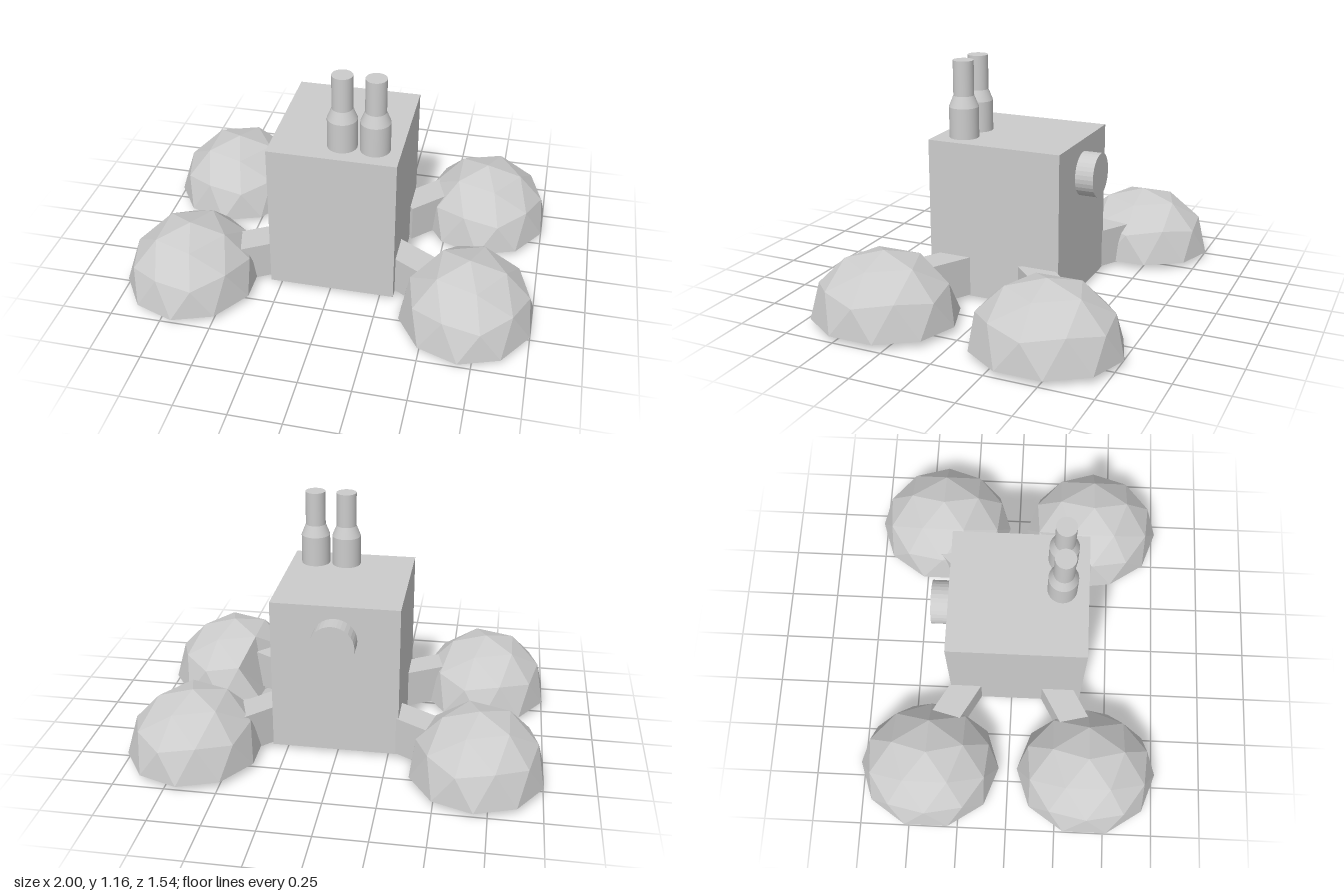
import * as THREE from 'three';

const material = new THREE.MeshStandardMaterial({ color: 0xcccccc, flatShading: true });
const smoothMaterial = new THREE.MeshStandardMaterial({ color: 0xcccccc });
const shellMaterial = new THREE.MeshStandardMaterial({
  color: 0xcccccc, flatShading: true, side: THREE.DoubleSide,
});

// Open upper half of a once-subdivided icosahedron; optional dent moves two vertices.
function domeGeometry(rx, ry, rz, dent) {
  const point = (latitude, degrees) => {
    const a = THREE.MathUtils.degToRad(degrees);
    const l = THREE.MathUtils.degToRad(latitude);
    return [rx * Math.cos(l) * Math.cos(a), ry * Math.sin(l), rz * Math.cos(l) * Math.sin(a)];
  };
  const pole = [0, ry, 0];
  const upper = [], middle = [], rim = [];
  for (let k = 0; k < 5; k++) upper.push(point(58.28, 72 * k));
  for (let j = 0; j < 10; j++) {
    middle.push(point(j % 2 ? 31.72 : 26.57, 36 * j));
    rim.push(point(0, 18 + 36 * j));
  }
  if (dent) {
    middle[6] = dent.middle;
    rim[5] = dent.rim;
  }
  const positions = [];
  const face = (...corners) => corners.forEach((c) => positions.push(...c));
  for (let k = 0; k < 5; k++) {
    const next = upper[(k + 1) % 5];
    const b0 = middle[2 * k], b1 = middle[2 * k + 1], b2 = middle[(2 * k + 2) % 10];
    face(pole, next, upper[k]);
    face(upper[k], b1, b0);
    face(b1, upper[k], next);
    face(next, b2, b1);
  }
  for (let j = 0; j < 10; j++) {
    face(middle[j], rim[j], rim[(j + 9) % 10]);
    face(rim[j], middle[j], middle[(j + 1) % 10]);
  }
  const geometry = new THREE.BufferGeometry();
  geometry.setAttribute('position', new THREE.Float32BufferAttribute(positions, 3));
  geometry.computeVertexNormals();
  return geometry;
}

export function createModel() {
  const model = new THREE.Group();
  const add = (name, geometry, x, y, z, mat = material) => {
    const mesh = new THREE.Mesh(geometry, mat);
    mesh.name = name;
    mesh.position.set(x, y, z);
    model.add(mesh);
    return mesh;
  };

  // Tall central box
  add('body', new THREE.BoxGeometry(0.62, 0.77, 0.675), 0.01, 0.405, 0.0225);

  // Round port on the back
  add('backPort', new THREE.CylinderGeometry(0.108, 0.108, 0.1, 32), 0.01, 0.62, -0.355)
    .rotation.x = Math.PI / 2;

  // Twin stepped chimneys; sections are doubled at the creases to stay sharp
  const profile = [[0.072, 0], [0.072, 0.15], [0.072, 0.15], [0.05, 0.205],
    [0.05, 0.205], [0.05, 0.375], [0.05, 0.375], [0, 0.375]];
  for (const [name, x] of [['rightChimney', 0.038], ['leftChimney', 0.195]]) {
    const group = new THREE.Group();
    group.name = name;
    for (let i = 0; i < profile.length; i += 2) {
      const points = profile.slice(i, i + 2).map(([r, y]) => new THREE.Vector2(r, y));
      const section = new THREE.Mesh(new THREE.LatheGeometry(points, 32), smoothMaterial);
      section.name = 'chimneySection';
      group.add(section);
    }
    group.position.set(x, 0.79, 0.23);
    model.add(group);
  }

  // Four splayed arms, each ending inside a foot dome
  const arms = [
    ['frontLeftArm', 0.32, 0.23, 30], ['frontRightArm', -0.3, 0.24, 150],
    ['backRightArm', -0.3, -0.24, 210], ['backLeftArm', 0.32, -0.2, -45],
  ];
  for (const [name, x, z, degrees] of arms) {
    const a = THREE.MathUtils.degToRad(degrees);
    const middle = 0.115;
    add(name, new THREE.BoxGeometry(0.33, 0.195, 0.142),
      x + middle * Math.cos(a), 0.1225, z + middle * Math.sin(a)).rotation.y = -a;
  }

  // Faceted foot domes; the front left one is dented where its arm enters
  const dent = { middle: [-0.19, -0.03, -0.14], rim: [-0.317, -0.03, -0.01] };
  const feet = [
    ['frontLeftFoot', 0.687, 0.405, dent], ['frontRightFoot', -0.687, 0.405],
    ['backLeftFoot', 0.687, -0.41], ['backRightFoot', -0.687, -0.41],
  ];
  for (const [name, x, z, damage] of feet) {
    add(name, domeGeometry(0.329, 0.32, 0.36, damage), x, 0.03, z, shellMaterial);
  }

  return model;
}
